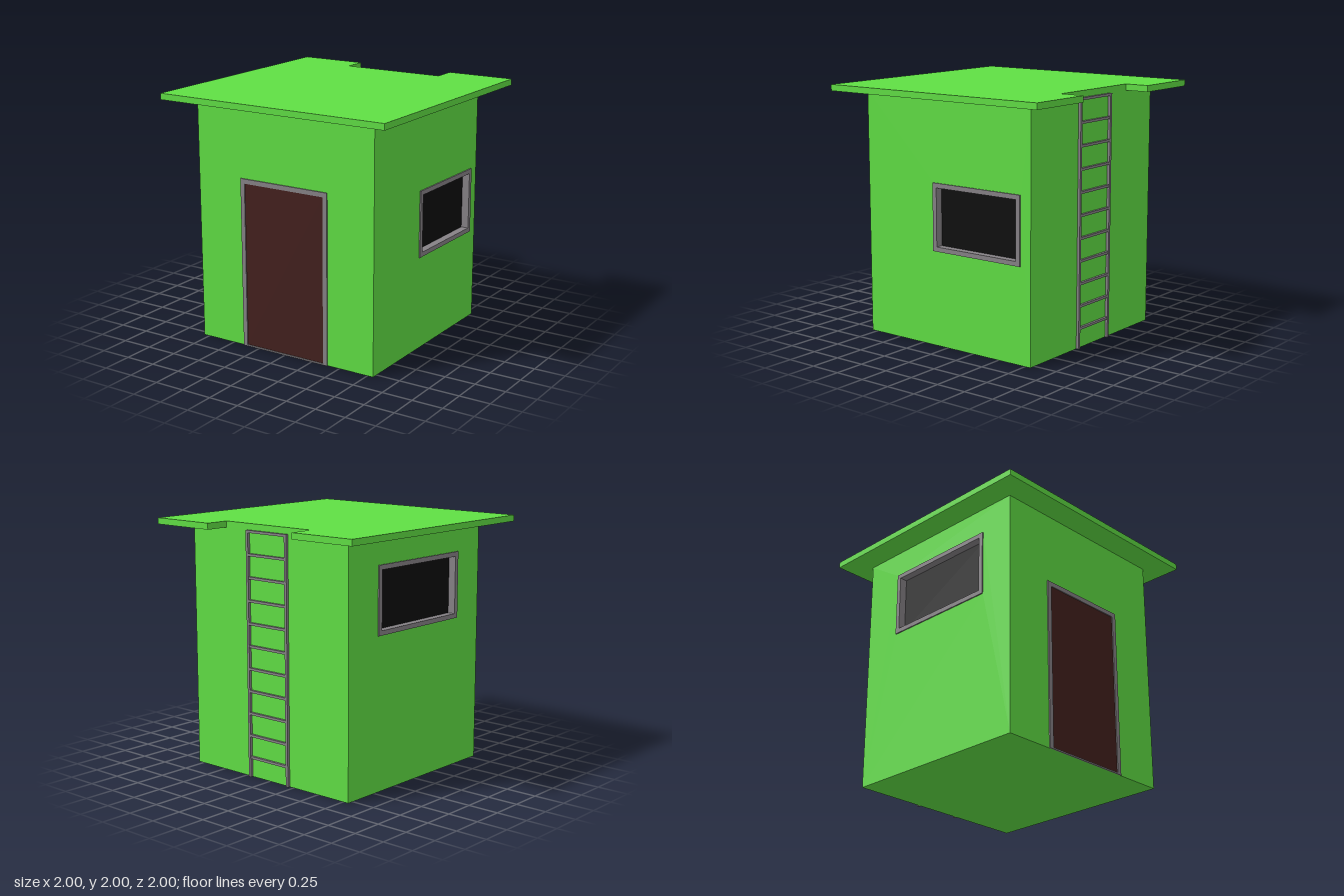
import * as THREE from 'three';

const mat = (color) => new THREE.MeshStandardMaterial({ color });
const GREEN = mat(0x60df44), GREY = mat(0x868286), DOOR = mat(0x43201d), GLASS = mat(0x0d0d0d);
const HALF = 0.8, WALL_TOP = 1.95;

function add(parent, name, geometry, material, x = 0, y = 0, z = 0) {
  const mesh = new THREE.Mesh(geometry, material);
  mesh.name = name;
  mesh.position.set(x, y, z);
  parent.add(mesh);
  return mesh;
}

// Rectangle outline from corner (x0, y0) to (x1, y1)
function rect(Type, [x0, y0, x1, y1]) {
  return new Type([[x0, y0], [x1, y0], [x1, y1], [x0, y1]].map(([x, y]) => new THREE.Vector2(x, y)));
}

// A wall in its own xy plane, facing local +z, with an optional framed opening
function wall(parent, name, angle, opening) {
  const group = new THREE.Group();
  group.name = name;
  group.rotation.y = angle;
  group.position.set(Math.sin(angle) * HALF, 0, Math.cos(angle) * HALF);
  parent.add(group);

  const panel = rect(THREE.Shape, [-HALF, 0, HALF, WALL_TOP]);
  if (opening && opening.recess) panel.holes.push(rect(THREE.Path, opening.outer));
  add(group, name + 'Panel', new THREE.ShapeGeometry(panel), GREEN);
  if (!opening) return group;

  const { outer: [x0, y0, x1, y1], bottom, recess, label, material } = opening;
  const inner = [x0 + 0.037, y0 + bottom, x1 - 0.037, y1 - 0.037];
  const frame = rect(THREE.Shape, opening.outer);
  frame.holes.push(rect(THREE.Path, inner));
  const frameGeo = new THREE.ExtrudeGeometry(frame, { depth: recess + 0.01, bevelEnabled: false });
  add(group, label + 'Frame', frameGeo, GREY, 0, 0, -recess);
  add(group, label + 'Pane', new THREE.ShapeGeometry(rect(THREE.Shape, inner)), material, 0, 0, 0.003 - recess);
  return group;
}

export function createModel() {
  const model = new THREE.Group();
  model.name = 'hut';

  // Walls: door in front, one low and one high window at the sides
  wall(model, 'frontWall', 0,
    { label: 'door', outer: [-0.395, 0, 0.395, 1.37], bottom: 0.012, recess: 0, material: DOOR });
  wall(model, 'leftWall', Math.PI / 2,
    { label: 'lowWindow', outer: [-0.13, 0.755, 0.707, 1.29], bottom: 0.037, recess: 0.055, material: GLASS });
  wall(model, 'rightWall', -Math.PI / 2,
    { label: 'highWindow', outer: [-0.465, 1.21, 0.515, 1.74], bottom: 0.037, recess: 0.055, material: GLASS });
  const back = wall(model, 'backWall', Math.PI);

  // Floor, closing the underside
  add(model, 'floor', new THREE.PlaneGeometry(2 * HALF, 2 * HALF), GREEN).rotation.x = Math.PI / 2;

  // Overhanging roof slab, notched at the back for the ladder
  const n = 0.435;
  const outline = [[-1, -1], [1, -1], [1, 1], [n, 1], [n, HALF], [-n, HALF], [-n, 1], [-1, 1]];
  const roofShape = new THREE.Shape(outline.map(([x, y]) => new THREE.Vector2(x, y)));
  const roofGeo = new THREE.ExtrudeGeometry(roofShape, { depth: 2 - WALL_TOP, bevelEnabled: false });
  add(model, 'roof', roofGeo, GREEN, 0, WALL_TOP, 0).rotation.x = -Math.PI / 2;

  // Ladder against the back wall
  const ladder = new THREE.Group();
  ladder.name = 'ladder';
  back.add(ladder);
  for (const side of [-1, 1]) {
    add(ladder, 'ladderRail', new THREE.BoxGeometry(0.022, WALL_TOP, 0.022), GREY, side * 0.199, WALL_TOP / 2, 0.011);
  }
  for (let i = 0; i < 11; i++) {
    add(ladder, 'ladderRung', new THREE.BoxGeometry(0.38, 0.02, 0.02), GREY, 0, 0.16 + i * 0.178, 0.011);
  }

  return model;
}
